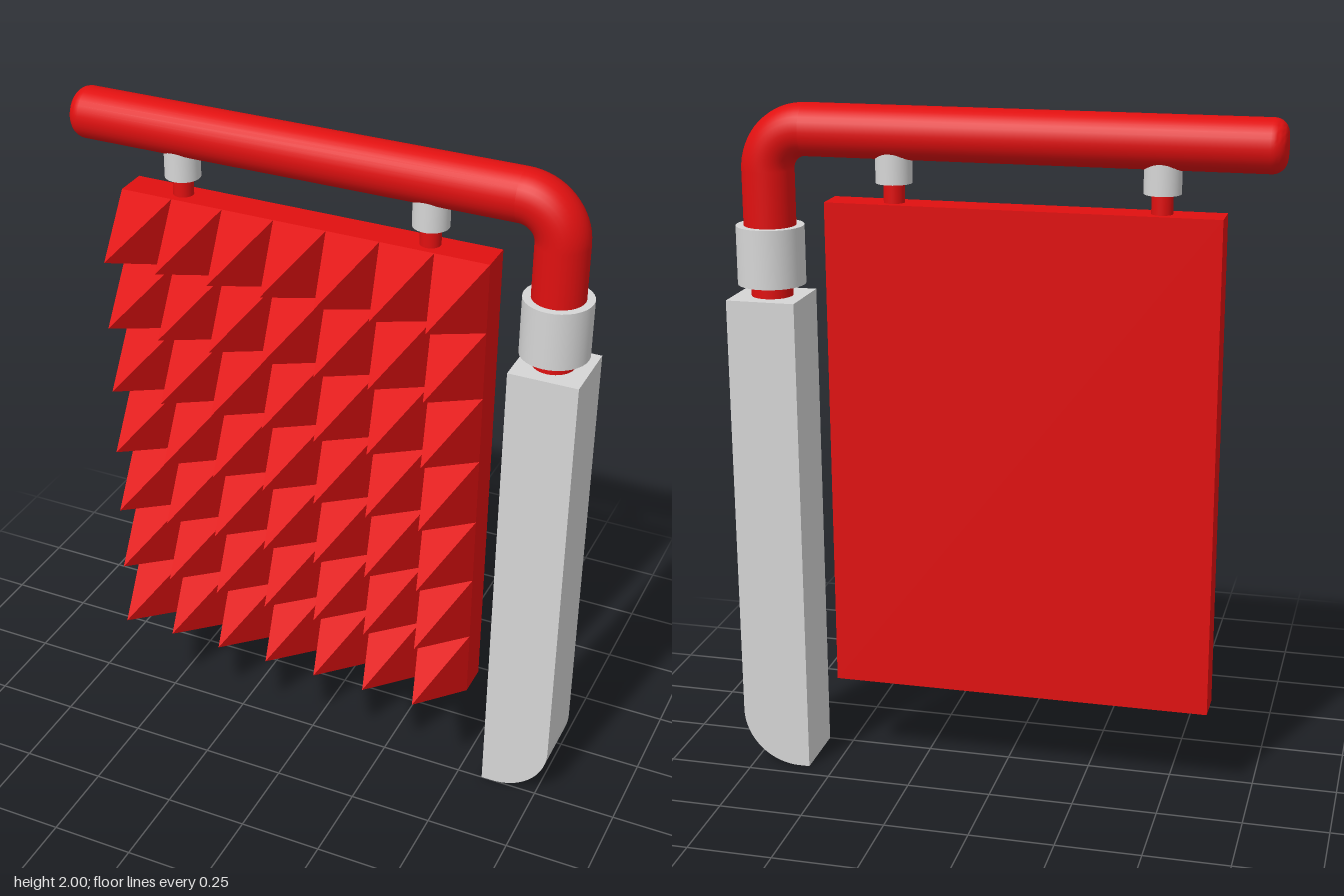
import * as THREE from 'three';
import { mergeGeometries, toCreasedNormals } from 'three/addons/utils/BufferGeometryUtils.js';

export function createModel() {
  const red = new THREE.MeshStandardMaterial({ color: 0xe01010 });
  red.name = 'red';
  const grey = new THREE.MeshStandardMaterial({ color: 0xd6d6d6 });
  grey.name = 'light grey';

  const model = new THREE.Group();
  model.name = 'spikedPanelOnPole';
  const Z = -0.1; // depth of the shared centre plane

  function add(name, geometry, material, x = 0, y = 0, z = Z) {
    const mesh = new THREE.Mesh(geometry, material);
    mesh.name = name;
    mesh.position.set(x, y, z);
    model.add(mesh);
    return mesh;
  }
  // upright cylinder between two heights
  function rod(name, material, x, y0, y1, r) {
    return add(name, new THREE.CylinderGeometry(r, r, y1 - y0, 32), material, x, (y0 + y1) / 2);
  }

  // backing panel
  const left = -0.625, bottom = 0.28, width = 1.12, height = 1.45;
  add('panel', new THREE.BoxGeometry(width, height, 0.1), red, left + width / 2, bottom + height / 2);

  // 7 x 7 grid of pyramid spikes on the panel's front
  const n = 7, cw = width / n, ch = height / n, spikeLength = 0.25;
  const spike = new THREE.ConeGeometry(Math.SQRT1_2, spikeLength, 4, 1, true, Math.PI / 4)
    .rotateX(Math.PI / 2).scale(cw, ch, 1).toNonIndexed();
  spike.computeVertexNormals();
  const spikes = [];
  for (let i = 0; i < n; i++) {
    for (let j = 0; j < n; j++) {
      spikes.push(spike.clone().translate(left + (i + 0.5) * cw, bottom + (j + 0.5) * ch, 0));
    }
  }
  add('spikes', mergeGeometries(spikes), red, 0, 0, -0.05 + spikeLength / 2);

  // horizontal pipe with a rounded free end
  const r = 0.075, round = 0.04, bendX = 0.56, bendY = 1.81, bendR = 0.115, endX = -0.785;
  const profile = [new THREE.Vector2(r, -bendX)];
  for (let i = 0; i <= 8; i++) {
    const a = (i / 8) * Math.PI / 2;
    profile.push(new THREE.Vector2(r - round + round * Math.cos(a), -endX - round + round * Math.sin(a)));
  }
  profile.push(new THREE.Vector2(0, -endX));
  const arm = toCreasedNormals(new THREE.LatheGeometry(profile, 32), 0.6);
  add('topPipe', arm.rotateZ(Math.PI / 2), red, 0, bendY + bendR);

  // elbow and descending pipe
  add('pipeElbow', new THREE.TorusGeometry(bendR, r, 32, 16, Math.PI / 2), red, bendX, bendY);
  const poleX = bendX + bendR;
  rod('downPipe', red, poleX, 1.6, bendY, r);
  rod('poleCollar', grey, poleX, 1.48, 1.65, 0.098);
  rod('poleNeck', red, poleX, 1.44, 1.5, 0.06);

  // square post with one rounded lower corner
  const x0 = 0.577, x1 = 0.78, top = 1.445, corner = 0.17;
  const outline = new THREE.Shape();
  outline.moveTo(x0, 0);
  outline.lineTo(x1 - corner, 0);
  outline.absarc(x1 - corner, corner, corner, -Math.PI / 2, 0, false);
  outline.lineTo(x1, top);
  outline.lineTo(x0, top);
  outline.closePath();
  const post = new THREE.ExtrudeGeometry(outline, { depth: 0.2, bevelEnabled: false, curveSegments: 16 });
  add('post', toCreasedNormals(post, 0.5), grey, 0, 0, -0.2);

  // hangers joining panel and pipe
  for (const x of [-0.452, 0.304]) {
    rod('hangerRod', red, x, 1.72, 1.8, 0.03);
    rod('hangerSleeve', grey, x, 1.785, 1.9, 0.052);
  }
  return model;
}
